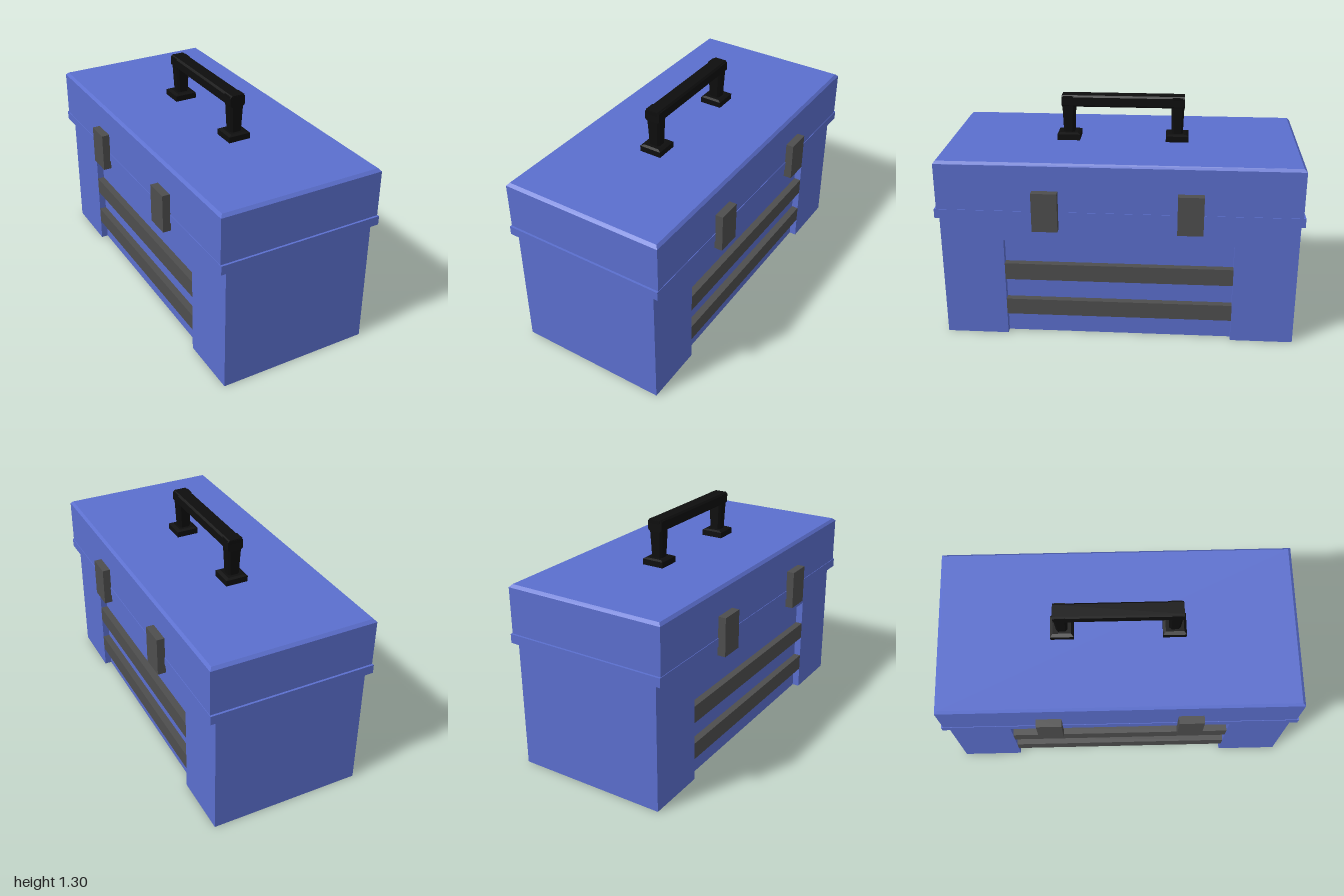
import * as THREE from 'three';

const paint = (name, color) => {
  const m = new THREE.MeshStandardMaterial({ color });
  m.name = name;
  return m;
};

// Lofts rectangles [y, halfX, halfZ] with corners cut by c, closed at both ends, flat faces
function loft(sections, c = 0) {
  const rings = sections.map(([y, x, z]) => {
    const p = c
      ? [[x - c, z], [x, z - c], [x, c - z], [x - c, -z], [c - x, -z], [-x, c - z], [-x, z - c], [c - x, z]]
      : [[x, z], [x, -z], [-x, -z], [-x, z]];
    return p.map(([px, pz]) => [px, y, pz]);
  });
  const n = rings[0].length;
  const pos = [];
  const tri = (...pts) => pts.forEach((p) => pos.push(...p));
  for (let i = 0; i < rings.length - 1; i++) {
    for (let j = 0; j < n; j++) {
      const k = (j + 1) % n;
      const [lo, hi] = [rings[i], rings[i + 1]];
      tri(lo[j], lo[k], hi[k]);
      tri(lo[j], hi[k], hi[j]);
    }
  }
  const bottom = rings[0], top = rings[rings.length - 1];
  for (let j = 1; j < n - 1; j++) {
    tri(top[0], top[j], top[j + 1]);
    tri(bottom[0], bottom[j + 1], bottom[j]);
  }
  const g = new THREE.BufferGeometry();
  g.setAttribute('position', new THREE.Float32BufferAttribute(pos, 3));
  g.computeVertexNormals();
  return g;
}

export function createModel() {
  const blue = paint('blue shell', 0x5b6fce);
  const grey = paint('dark grey trim', 0x4e4e4e);
  const black = paint('black handle', 0x0e0e0e);

  const model = new THREE.Group();
  model.name = 'toolbox';
  const add = (name, geometry, material, x = 0, y = 0, z = 0, parent = model) => {
    const mesh = new THREE.Mesh(geometry, material);
    mesh.name = name;
    mesh.position.set(x, y, z);
    parent.add(mesh);
    return mesh;
  };

  // Lower body: floor plan with a shallow recess in each long side
  const W = 0.435, L = 0.983, recessL = 0.635, recessX = 0.395, recessTop = 0.585;
  const half = [[W, -L], [W, -recessL], [recessX, -recessL], [recessX, recessL], [W, recessL], [W, L]];
  const plan = new THREE.Shape(
    [...half, ...half.map(([x, z]) => [-x, -z])].map(([x, z]) => new THREE.Vector2(x, z)));
  const lower = new THREE.ExtrudeGeometry(plan, { depth: recessTop, bevelEnabled: false });
  lower.rotateX(-Math.PI / 2);
  add('lowerBody', lower, blue);
  add('upperBody', new THREE.BoxGeometry(2 * W, 0.75 - recessTop, 2 * L), blue, 0, (0.75 + recessTop) / 2, 0);

  // Rim and lid with bevelled top edge
  add('rim', new THREE.BoxGeometry(0.942, 0.051, 2), blue, 0, 0.7505, 0);
  add('lid', loft([[0.77, 0.468, 0.988], [1.035, 0.468, 0.988], [1.05, 0.454, 0.972]]), blue);

  // Bars across the recesses, and latches over the lid seam
  for (const side of [-1, 1]) {
    for (const [y0, y1] of [[0.125, 0.22], [0.345, 0.443]]) {
      add('recessBar', new THREE.BoxGeometry(0.045, y1 - y0, 2 * recessL),
        grey, side * (W - 0.0225), (y0 + y1) / 2, 0);
    }
    for (const z of [-0.391, 0.391]) {
      add('latch', new THREE.BoxGeometry(0.046, 0.22, 0.14), grey, side * 0.489, 0.786, z);
    }
  }

  // Carrying handle: two feet, two flared posts and a grip
  const handle = new THREE.Group();
  handle.name = 'handle';
  model.add(handle);
  for (const z of [-0.307, 0.307]) {
    add('handleFoot', loft([[1.045, 0.064, 0.064], [1.083, 0.064, 0.064], [1.09, 0.045, 0.05]]),
      black, 0, 0, z, handle);
    add('handlePost', loft([[1.08, 0.033, 0.031], [1.24, 0.041, 0.036], [1.3, 0.045, 0.039]], 0.012),
      black, 0, 0, z, handle);
  }
  const grip = loft([[-0.345, 0.044, 0.033], [0.345, 0.044, 0.033]], 0.01);
  grip.rotateX(Math.PI / 2);
  add('handleGrip', grip, black, 0, 1.272, 0, handle);

  return model;
}
